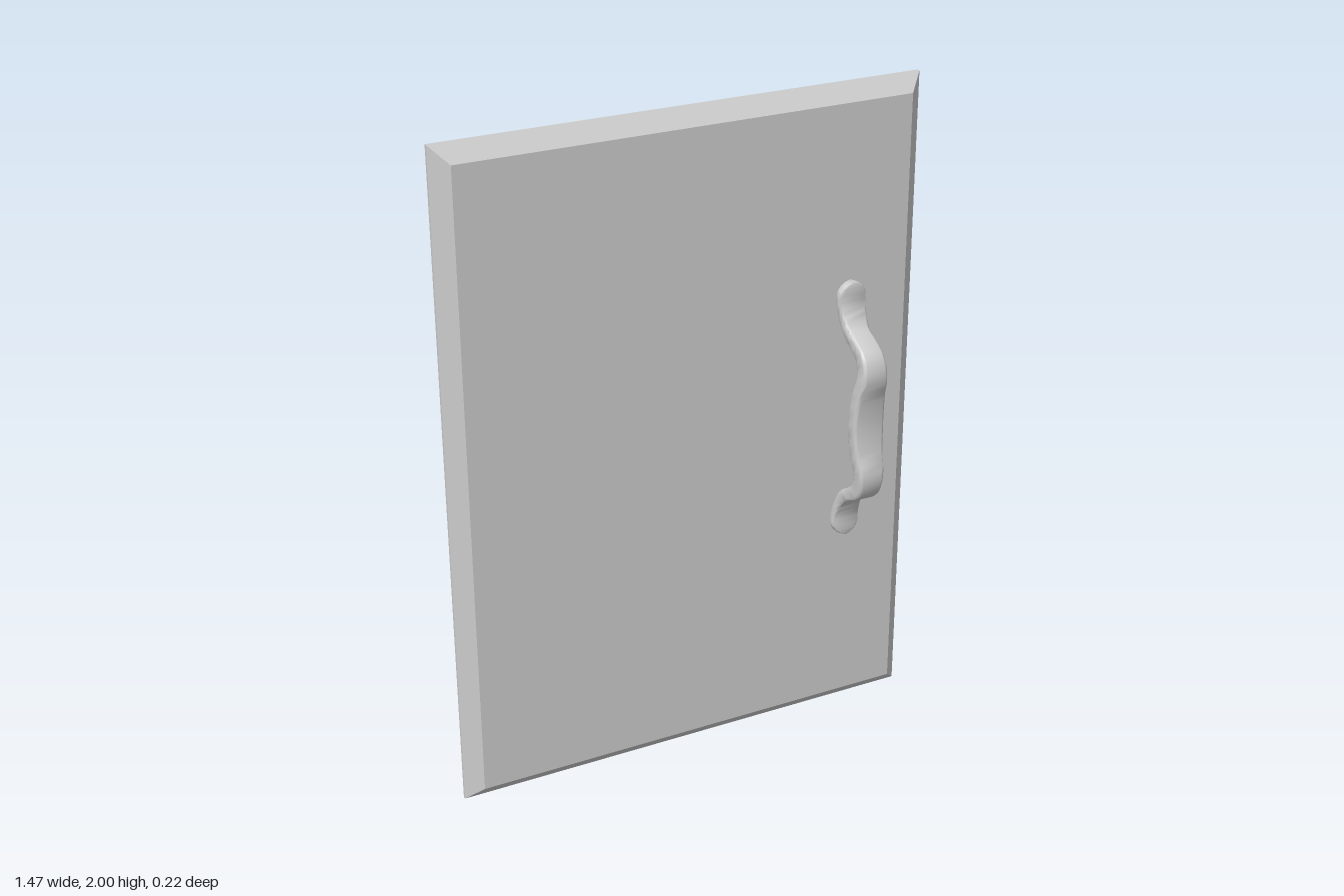
import * as THREE from 'three';
import { toCreasedNormals } from 'three/addons/utils/BufferGeometryUtils.js';

// Skins a list of closed rings (counter-clockwise about the direction of travel) and caps both ends.
function loft(rings, crease) {
  const n = rings[0].length, pos = [], idx = [];
  rings.forEach(ring => ring.forEach(p => pos.push(p.x, p.y, p.z)));
  for (let i = 0; i < rings.length - 1; i++) {
    for (let j = 0; j < n; j++) {
      const a = i * n + j, b = i * n + (j + 1) % n;
      idx.push(a, b, b + n, a, b + n, a + n);
    }
  }
  const last = (rings.length - 1) * n;
  for (let j = 1; j < n - 1; j++) {
    idx.push(0, j + 1, j, last, last + j, last + j + 1);
  }
  const g = new THREE.BufferGeometry();
  g.setAttribute('position', new THREE.Float32BufferAttribute(pos, 3));
  g.setIndex(idx);
  return toCreasedNormals(g, crease);
}

// Slab with a thin square lip at the back and a bevelled front edge
function doorGeometry() {
  const ring = (inset, z) => [[-1, -1], [1, -1], [1, 1], [-1, 1]].map(([sx, sy]) =>
    new THREE.Vector3(sx * (0.735 - inset), 1 + sy * (1 - inset), z));
  return loft([ring(0, -0.11), ring(0, -0.1), ring(0.047, -0.055)], 0.1);
}

// Wavy pull: a rounded-rectangle section swept up a curve, with round flat feet
function handleGeometry() {
  const half = 0.407, footRadius = 0.044, steps = 72;
  // Upper half, tip to middle: height from the middle, z, half width, half thickness
  const upper = [
    [0.407, -0.041, 0.044, 0.014], [0.335, -0.04, 0.043, 0.014],
    [0.266, -0.009, 0.037, 0.019], [0.24, 0.031, 0.036, 0.021],
    [0.207, 0.073, 0.037, 0.025], [0.158, 0.088, 0.04, 0.024],
    [0.094, 0.071, 0.046, 0.023], [0, 0.061, 0.05, 0.023],
  ];
  const rows = [
    ...upper.map(([y, z, w, t]) => [-y, z, w, t]),
    ...upper.slice(0, -1).reverse(),
  ];
  const path = new THREE.CatmullRomCurve3(rows.map(([y, z]) => new THREE.Vector3(0, y, z)));
  const size = new THREE.CatmullRomCurve3(rows.map(([, , w, t]) => new THREE.Vector3(w, t, 0)),
    false, 'catmullrom');
  const side = new THREE.Vector3(1, 0, 0);
  const rings = [];
  for (let k = 0; k <= steps; k++) {
    const u = (1 - Math.cos(Math.PI * k / steps)) / 2;
    const c = path.getPoint(u), s = size.getPoint(u);
    const normal = path.getTangent(u).cross(side);
    // Round off the feet
    const d = Math.max(0, half - Math.abs(c.y));
    let w = s.x;
    if (d < footRadius) w = Math.min(w, Math.sqrt(footRadius ** 2 - (footRadius - d) ** 2));
    w = Math.max(w, 0.003);
    const r = Math.min(0.01, w * 0.8, s.y * 0.6);
    const ring = [];
    for (let q = 0; q < 4; q++) {
      const sx = q === 0 || q === 3 ? 1 : -1, sn = q < 2 ? 1 : -1;
      for (let m = 0; m <= 3; m++) {
        const a = (q + m / 3) * Math.PI / 2;
        ring.push(c.clone()
          .addScaledVector(side, sx * (w - r) + r * Math.cos(a))
          .addScaledVector(normal, sn * (s.y - r) + r * Math.sin(a)));
      }
    }
    rings.push(ring);
  }
  return loft(rings, 0.8);
}

export function createModel() {
  const model = new THREE.Group();
  model.name = 'cabinetDoor';
  const material = new THREE.MeshStandardMaterial({ color: 0xcccccc });

  const door = new THREE.Mesh(doorGeometry(), material);
  door.name = 'doorPanel';

  const handle = new THREE.Mesh(handleGeometry(), material);
  handle.name = 'handle';
  handle.position.set(0.5, 1.022, 0);

  model.add(door, handle);
  return model;
}
